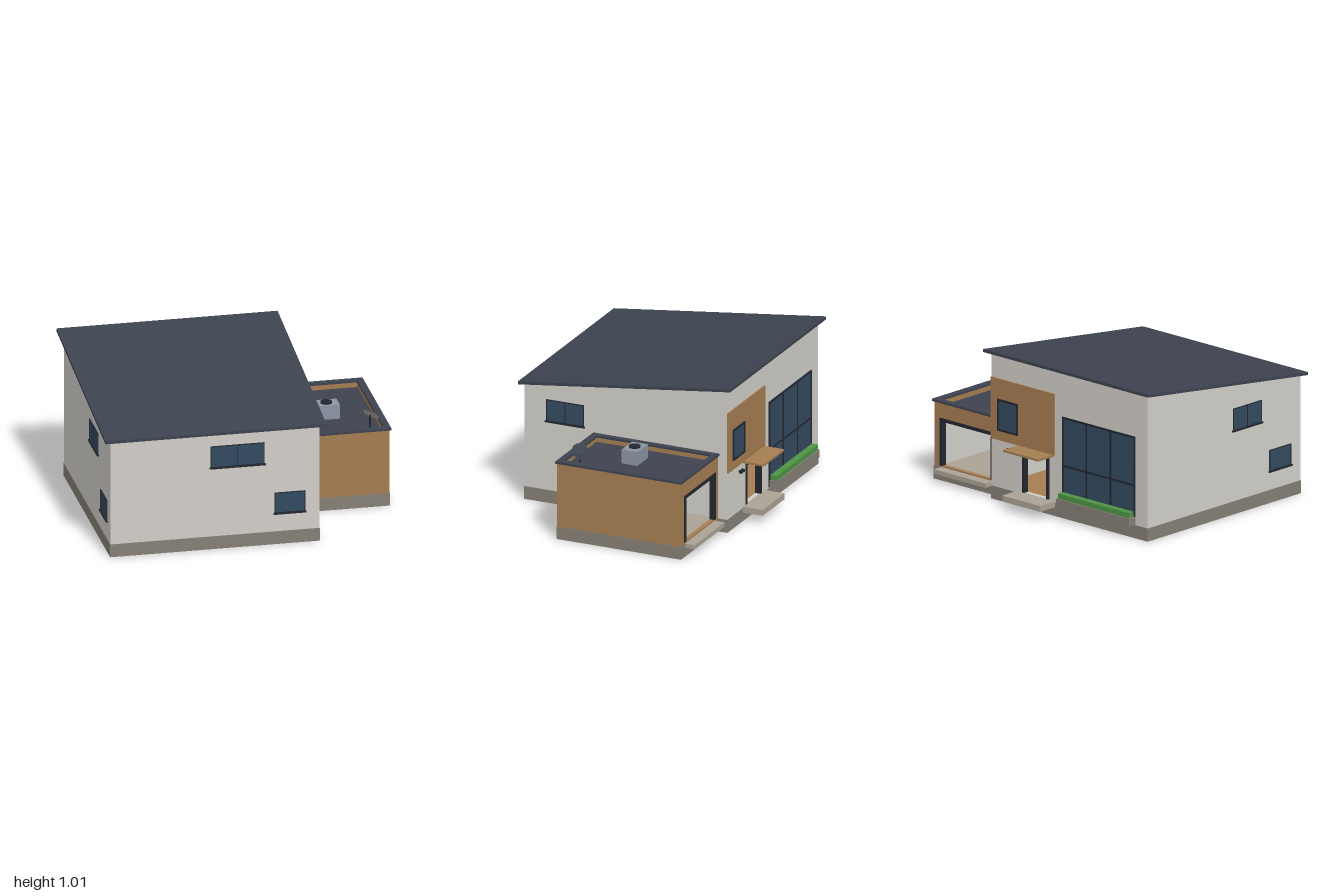
import * as THREE from 'three';

const mat = (name, color) => {
  const m = new THREE.MeshStandardMaterial({ color });
  m.name = name;
  return m;
};

export function createModel() {
  const wall = mat('plaster', 0xd2cfc9), wood = mat('wood', 0xa67d52), roofing = mat('roofing', 0x3d434f);
  const plinthMat = mat('plinth', 0x857f75), glass = mat('glass', 0x334a60), dark = mat('dark trim', 0x23272f);
  const stone = mat('stone', 0xaaa295), green = mat('hedge', 0x4f9444), metal = mat('metal', 0x8c95a5);

  const model = new THREE.Group();
  model.name = 'house';

  const add = (parent, name, geo, m) => {
    const mesh = new THREE.Mesh(geo, m);
    mesh.name = name;
    parent.add(mesh);
    return mesh;
  };
  // Box given by its limits on each axis
  const box = (name, m, x0, x1, y0, y1, z0, z1, parent = model) => {
    const mesh = add(parent, name, new THREE.BoxGeometry(x1 - x0, y1 - y0, z1 - z0), m);
    mesh.position.set((x0 + x1) / 2, (y0 + y1) / 2, (z0 + z1) / 2);
    return mesh;
  };
  // Side profile of [z, y] points, extruded along x
  const profile = (name, m, x0, x1, pts) => {
    const shape = new THREE.Shape(pts.map(([z, y]) => new THREE.Vector2(-z, y)));
    const geo = new THREE.ExtrudeGeometry(shape, { depth: x1 - x0, bevelEnabled: false });
    geo.rotateY(Math.PI / 2);
    return add(model, name, geo, m).translateX(x0);
  };
  // Upright wall across x with one rectangular opening
  const openWall = (name, m, x0, x1, y0, y1, z0, z1, [a, b, c, d]) => {
    const rect = (T, l, r, lo, hi) => new T([[l, lo], [r, lo], [r, hi], [l, hi]].map(p => new THREE.Vector2(...p)));
    const shape = rect(THREE.Shape, x0, x1, y0, y1);
    shape.holes.push(rect(THREE.Path, a, b, c, d));
    const geo = new THREE.ExtrudeGeometry(shape, { depth: z1 - z0, bevelEnabled: false });
    add(model, name, geo, m).position.z = z0;
  };

  // Main house shell
  const under = z => 0.80 + (0.81 - z) * 0.1255;
  const X0 = -0.96, X1 = 0.42, Z0 = -0.665, Z1 = 0.78, T = 0.03;
  const gable = [[Z0, 0], [Z1, 0], [Z1, under(Z1)], [Z0, under(Z0)]];
  profile('rightSideWall', wall, X0, X0 + T, gable);
  profile('leftSideWall', wall, X1 - T, X1, gable);
  box('frontWall', wall, X0 + T, X1 - T, 0, under(Z1), Z1 - T, Z1);
  openWall('backWall', wall, X0 + T, X1 - T, 0, under(Z0 + T), Z0, Z0 + T, [-0.08, 0.135, 0.1, 0.375]);
  box('houseFloor', wood, X0 + T, X1 - T, 0.07, 0.09, Z0 + T, Z1 - T);
  profile('mainRoof', roofing, -1, 0.46, [[-0.705, under(-0.705)], [0.81, 0.8], [0.81, 0.82], [-0.705, under(-0.705) + 0.02]]);

  // Plinth as thin plates around a footprint
  const plinth = (name, x0, x1, z0, z1, sides) => {
    const e = 0.003, h = 0.088;
    if (sides.includes('f')) box(name, plinthMat, x0 - e, x1 + e, 0, h, z1, z1 + e);
    if (sides.includes('b')) box(name, plinthMat, x0 - e, x1 + e, 0, h, z0 - e, z0);
    if (sides.includes('l')) box(name, plinthMat, x1, x1 + e, 0, h, z0, z1);
    if (sides.includes('r')) box(name, plinthMat, x0 - e, x0, 0, h, z0, z1);
  };
  plinth('housePlinth', X0, X1, Z0, Z1, 'fblr');

  // Garage annex
  const GX = 0.987, GZ0 = -0.6, GZ1 = 0.283;
  const opening = [0.475, 0.925, 0.1, 0.41];
  box('garageSideWall', wood, GX - T, GX, 0, 0.525, GZ0, GZ1);
  box('garageFrontWall', wood, X1, GX - T, 0, 0.525, GZ1 - T, GZ1);
  openWall('garageBackWall', wood, X1, GX - T, 0, 0.525, GZ0, GZ0 + T, opening);
  box('parapetInnerWall', wood, X1, X1 + T, 0.48, 0.525, GZ0 + T, GZ1 - T);
  plinth('garagePlinth', X1, GX, GZ0, GZ1, 'fbl');
  box('garageFloor', stone, X1, GX - T, 0.065, 0.09, GZ0 + T, GZ1 - T);
  box('garageSideLining', wall, GX - T - 0.004, GX - T, 0.09, 0.47, GZ0 + T, GZ1 - T);
  box('garageFrontLining', wall, X1, GX - T, 0.09, 0.47, GZ1 - T - 0.004, GZ1 - T);
  box('garageCeiling', wall, X1, GX - T, 0.465, 0.47, GZ0 + T, GZ1 - T);
  box('garageRoof', roofing, X1, GX - T, 0.47, 0.49, GZ0 + T, GZ1 - T);
  box('parapetCap', roofing, X1, 1, 0.523, 0.538, 0.245, 0.29);
  box('parapetCap', roofing, X1, 1, 0.523, 0.538, -0.61, -0.568);
  box('parapetCap', roofing, 0.955, 1, 0.523, 0.538, -0.568, 0.245);
  box('parapetCap', roofing, X1, 0.46, 0.523, 0.538, -0.568, 0.245);
  box('garageStep', stone, 0.47, 0.925, 0.06, 0.09, -0.67, GZ0);

  // Dark frame of three bars around an opening, standing proud of the wall
  const doorFrame = (name, [a, b, c, d], w, z0, z1) => {
    box(name, dark, a - w / 2, a + w / 2, c, d, z0, z1);
    box(name, dark, b - w / 2, b + w / 2, c, d, z0, z1);
    box(name, dark, a - w / 2, b + w / 2, d - w / 2, d + w / 2, z0, z1);
  };
  doorFrame('garageFrame', opening, 0.022, -0.606, -0.57);
  doorFrame('doorFrame', [-0.08, 0.135, 0.1, 0.378], 0.02, -0.673, -0.635);

  // Windows are built facing +z and turned to their wall
  const windowUnit = (name, px, pz, turn, y0, y1, w, { cols = 1, bars = [], edge = 0.005, sill = true }) => {
    const g = new THREE.Group();
    g.name = name;
    const h = w / 2;
    box('glass', glass, -h, h, y0, y1, 0, 0.004, g);
    for (let i = 0; i <= cols; i++) {
      const x = -h + (w * i) / cols;
      const l = i === 0 ? x : x - edge / 2, r = i === cols ? x : x + edge / 2;
      box('upright', dark, i === cols ? x - edge : l, i === 0 ? x + edge : r, y0, y1, 0, 0.007, g);
    }
    for (const y of [y0 + edge / 2, y1 - edge / 2, ...bars]) box('crossbar', dark, -h, h, y - edge / 2, y + edge / 2, 0, 0.007, g);
    if (sill) box('sill', dark, -h - 0.007, h + 0.007, y0 - 0.009, y0 + 0.002, 0, 0.012, g);
    g.position.set(px, 0, pz);
    g.rotation.y = turn;
    model.add(g);
  };
  const Q = Math.PI / 2;
  windowUnit('frontUpperWindow', -0.121, Z1, 0, 0.567, 0.715, 0.355, { cols: 2 });
  windowUnit('frontLowerWindow', 0.223, Z1, 0, 0.216, 0.358, 0.203, {});
  windowUnit('leftSideWindow', X1, 0.49, Q, 0.567, 0.715, 0.27, { cols: 2 });
  windowUnit('rightUpperWindow', X0, 0.275, -Q, 0.567, 0.715, 0.27, { cols: 2 });
  windowUnit('rightLowerWindow', X0, 0.585, -Q, 0.216, 0.358, 0.205, {});
  windowUnit('livingRoomWindow', -0.53, Z0, 2 * Q, 0.1, 0.686, 0.645, { cols: 3, bars: [0.357], edge: 0.013, sill: false });

  // Timber panel with its small window
  box('timberPanel', wood, -0.14, X1, 0.41, 0.825, -0.674, Z0);
  windowUnit('panelWindow', 0.268, -0.674, 2 * Q, 0.475, 0.69, 0.18, { edge: 0.013, sill: false });

  // Entrance: canopy, step and lamp
  box('canopy', wood, -0.13, 0.18, 0.397, 0.411, -0.812, Z0);
  box('entranceStep', stone, -0.145, 0.19, 0.06, 0.1, -0.81, Z0);
  box('lampArm', dark, 0.233, 0.247, 0.362, 0.37, -0.68, Z0);
  box('lampHead', dark, 0.215, 0.265, 0.358, 0.375, -0.695, -0.675);

  // Planter under the large window
  box('planter', plinthMat, -0.853, -0.21, 0.09, 0.145, -0.728, Z0);
  box('hedge', green, -0.845, -0.217, 0.145, 0.18, -0.72, -0.675);

  // Rooftop air unit
  box('airUnit', metal, 0.577, 0.735, 0.49, 0.586, -0.172, -0.06);
  add(model, 'airUnitFan', new THREE.CylinderGeometry(0.038, 0.038, 0.01, 16), dark).position.set(0.656, 0.591, -0.116);

  // Satellite dish: shallow dark bowl with a pale face
  const dish = new THREE.Group();
  dish.name = 'dish';
  add(dish, 'dishBack', new THREE.CylinderGeometry(0.057, 0.03, 0.016, 12, 1, true), roofing).position.y = -0.008;
  const hub = add(dish, 'dishHub', new THREE.CircleGeometry(0.03, 12), roofing);
  hub.rotation.x = Q;
  hub.position.y = -0.016;
  add(dish, 'dishFace', new THREE.CircleGeometry(0.057, 12), stone).rotation.x = -Q;
  dish.position.set(0.893, 0.594, 0.162);
  dish.quaternion.setFromUnitVectors(new THREE.Vector3(0, 1, 0), new THREE.Vector3(-0.52, -0.68, 0.5).normalize());
  model.add(dish);
  add(model, 'dishPole', new THREE.CylinderGeometry(0.006, 0.006, 0.1, 8), dark).position.set(0.885, 0.54, 0.168);

  return model;
}
